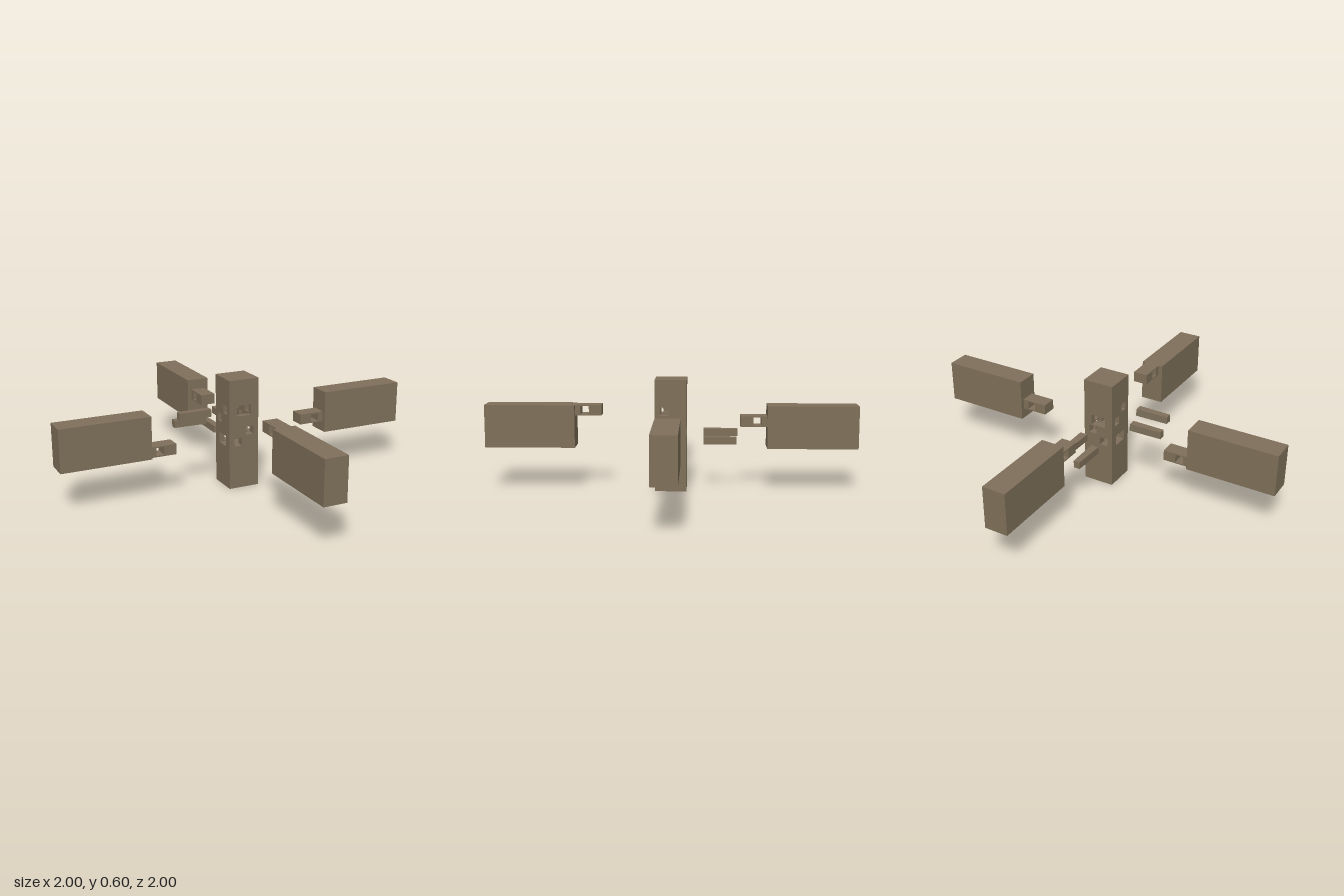
import * as THREE from 'three';

const POST = 0.085;            // half width of the post
const TENON = 0.143;           // tenon length
const TENON_HALF = 0.041;      // half width of the tenons
const LAYER = 0.0575;          // tenon height, four stacked layers
const BASE = 0.23;             // underside of the beams
const HOLE = 0.022;            // half size of the peg holes
const OFFSET = 0.034;          // distance of the pegs from the post axis
const layerMid = i => BASE + LAYER * (i + 0.5);

// Box given as [x0, x1, y0, y1, z0, z1]
const inside = (b, p) => [0, 1, 2].every(a => p[a] > b[2 * a] && p[a] < b[2 * a + 1]);

// Union of solid boxes minus void boxes, meshed as the boundary between filled and empty cells
function carve(solids, voids) {
  const all = [...solids, ...voids];
  const cuts = [0, 1, 2].map(a => {
    const list = all.flatMap(b => [b[2 * a], b[2 * a + 1]]).sort((m, n) => m - n);
    return list.filter((v, i) => i === 0 || v - list[i - 1] > 1e-6);
  });
  const filled = c => {
    if (c.some((i, a) => i < 0 || i >= cuts[a].length - 1)) return false;
    const p = c.map((i, a) => (cuts[a][i] + cuts[a][i + 1]) / 2);
    return solids.some(b => inside(b, p)) && !voids.some(b => inside(b, p));
  };
  const pos = [];
  for (let i = 0; i < cuts[0].length - 1; i++)
    for (let j = 0; j < cuts[1].length - 1; j++)
      for (let k = 0; k < cuts[2].length - 1; k++) {
        const c = [i, j, k];
        if (!filled(c)) continue;
        for (let a = 0; a < 3; a++)
          for (const s of [0, 1]) {
            const next = c.slice();
            next[a] += s ? 1 : -1;
            if (filled(next)) continue;
            const u = (a + 1) % 3, v = (a + 2) % 3;
            const corner = (du, dv) => {
              const p = [];
              p[a] = cuts[a][c[a] + s];
              p[u] = cuts[u][c[u] + du];
              p[v] = cuts[v][c[v] + dv];
              return p;
            };
            const q = [corner(0, 0), corner(1, 0), corner(1, 1), corner(0, 1)];
            if (!s) q.reverse();
            for (const n of [0, 1, 2, 0, 2, 3]) pos.push(...q[n]);
          }
      }
  const g = new THREE.BufferGeometry();
  g.setAttribute('position', new THREE.Float32BufferAttribute(pos, 3));
  g.computeVertexNormals();
  return g;
}

// Peg along +x, slightly slimmer at its outer end
function pegGeometry() {
  const g = new THREE.BoxGeometry(0.18, 0.039, 0.042).toNonIndexed();
  const p = g.attributes.position;
  for (let i = 0; i < p.count; i++) if (p.getX(i) > 0) p.setZ(i, p.getZ(i) * 0.84);
  g.computeVertexNormals();
  return g;
}

export function createModel() {
  const model = new THREE.Group();
  model.name = 'timberJoint';
  const wood = new THREE.MeshStandardMaterial({ color: 0x7f705a });
  wood.name = 'brown timber';
  const add = (parent, name, geometry) => {
    const m = new THREE.Mesh(geometry, wood);
    m.name = name;
    parent.add(m);
    return m;
  };

  // Post with four blind mortises and four through holes for the pegs
  const end = TENON - POST, t = TENON_HALF, P = POST, h = HOLE;
  const layer = i => [BASE + LAYER * i, BASE + LAYER * (i + 1)];
  const mid = i => [layerMid(i) - h, layerMid(i) + h];
  const at = v => [v - h, v + h];
  add(model, 'post', carve([[-P, P, 0, 0.6, -P, P]], [
    [-P, end, ...layer(0), -t, t],
    [-end, P, ...layer(1), -t, t],
    [-t, t, ...layer(2), -P, end],
    [-t, t, ...layer(3), -end, P],
    [...at(-OFFSET), ...mid(0), -P, P],
    [...at(OFFSET), ...mid(1), -P, P],
    [-P, P, ...mid(2), ...at(-OFFSET)],
    [-P, P, ...mid(3), ...at(OFFSET)],
  ]));

  // Four beams, each with a tenon in its own layer and a peg hole across it
  const beams = [['rightBeam', Math.PI], ['leftBeam', 0], ['backBeam', Math.PI / 2], ['frontBeam', -Math.PI / 2]];
  beams.forEach(([name, angle], i) => {
    const beam = add(model, name, carve(
      [[0.515, 1, BASE, BASE + 4 * LAYER, -0.063, 0.063], [0.515 - TENON, 0.515, ...layer(i), -t, t]],
      [[...at(0.462), ...mid(i), -t, t]]));
    beam.rotation.y = angle;
  });

  // Two pegs behind the post and two on its right, each lined up with its hole
  const pegs = [['backPegs', Math.PI / 2, [[0, -OFFSET], [1, OFFSET]]], ['rightPegs', Math.PI, [[2, OFFSET], [3, -OFFSET]]]];
  for (const [name, angle, places] of pegs) {
    const group = new THREE.Group();
    group.name = name;
    group.rotation.y = angle;
    for (const [i, z] of places) add(group, 'peg', pegGeometry()).position.set(0.265, layerMid(i), z);
    model.add(group);
  }
  return model;
}
